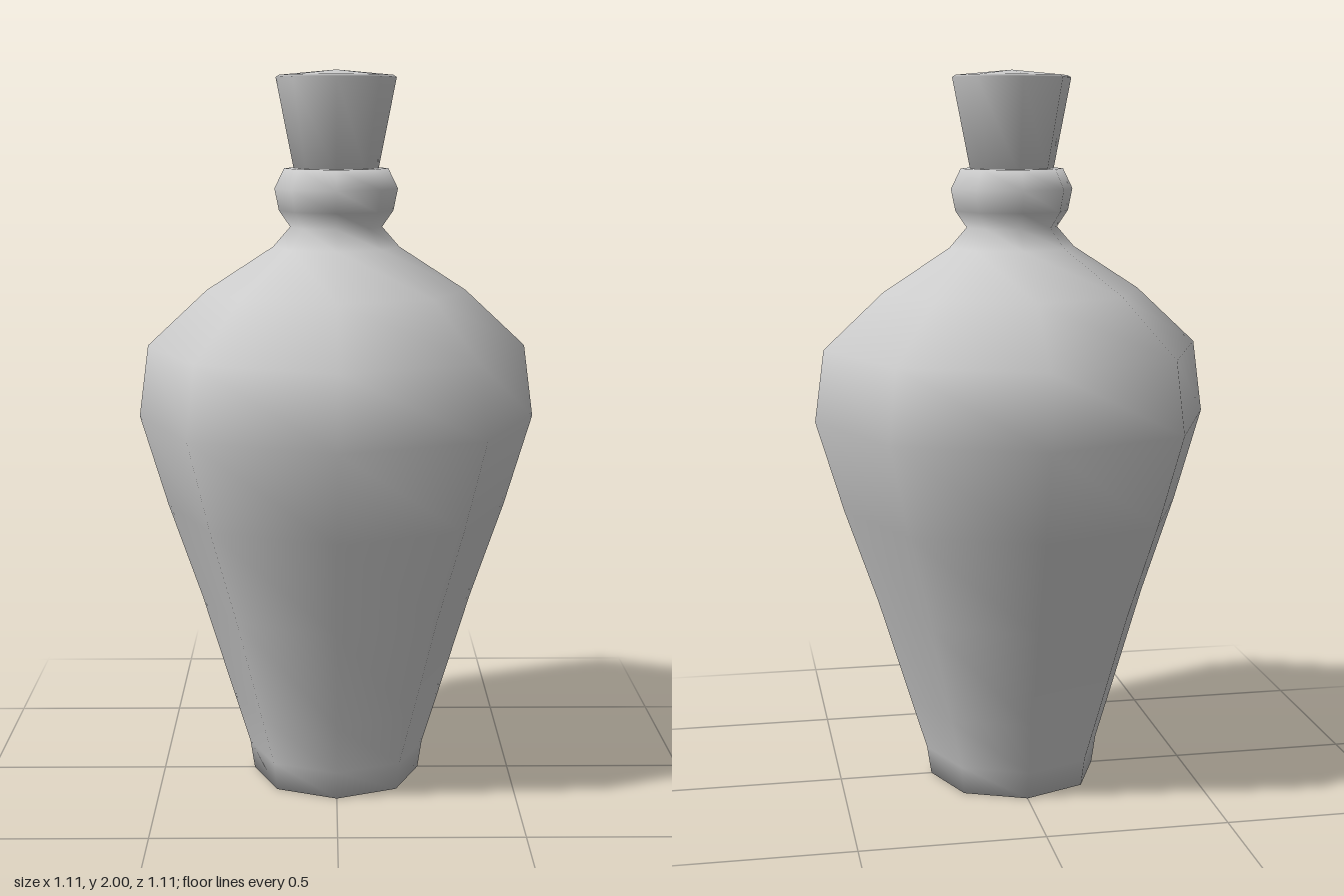
import * as THREE from 'three';

const SIDES = 8;

// Smooth-shaded octagonal turning from [radius, height] pairs
function turned(name, profile) {
  const points = profile.map(([r, y]) => new THREE.Vector2(r, y));
  const material = new THREE.MeshStandardMaterial({ color: 0xcccccc });
  const mesh = new THREE.Mesh(new THREE.LatheGeometry(points, SIDES), material);
  mesh.name = name;
  return mesh;
}

export function createModel() {
  const model = new THREE.Group();
  model.name = 'stopperedBottle';

  // Tapered body, rounded shoulder, narrow neck and bulging lip
  model.add(turned('bottle', [
    [0, 0], [0.238, 0], [0.25, 0.08], [0.296, 0.23], [0.384, 0.52], [0.477, 0.79],
    [0.553, 1.045], [0.526, 1.245], [0.36, 1.4], [0.175, 1.52], [0.127, 1.575],
    [0.158, 1.62], [0.17, 1.68], [0.143, 1.735], [0, 1.735],
  ]));

  // Flared stopper with a slightly domed top
  model.add(turned('stopper', [
    [0, 1.72], [0.114, 1.72], [0.165, 1.98], [0.155, 1.986], [0, 2],
  ]));

  return model;
}
